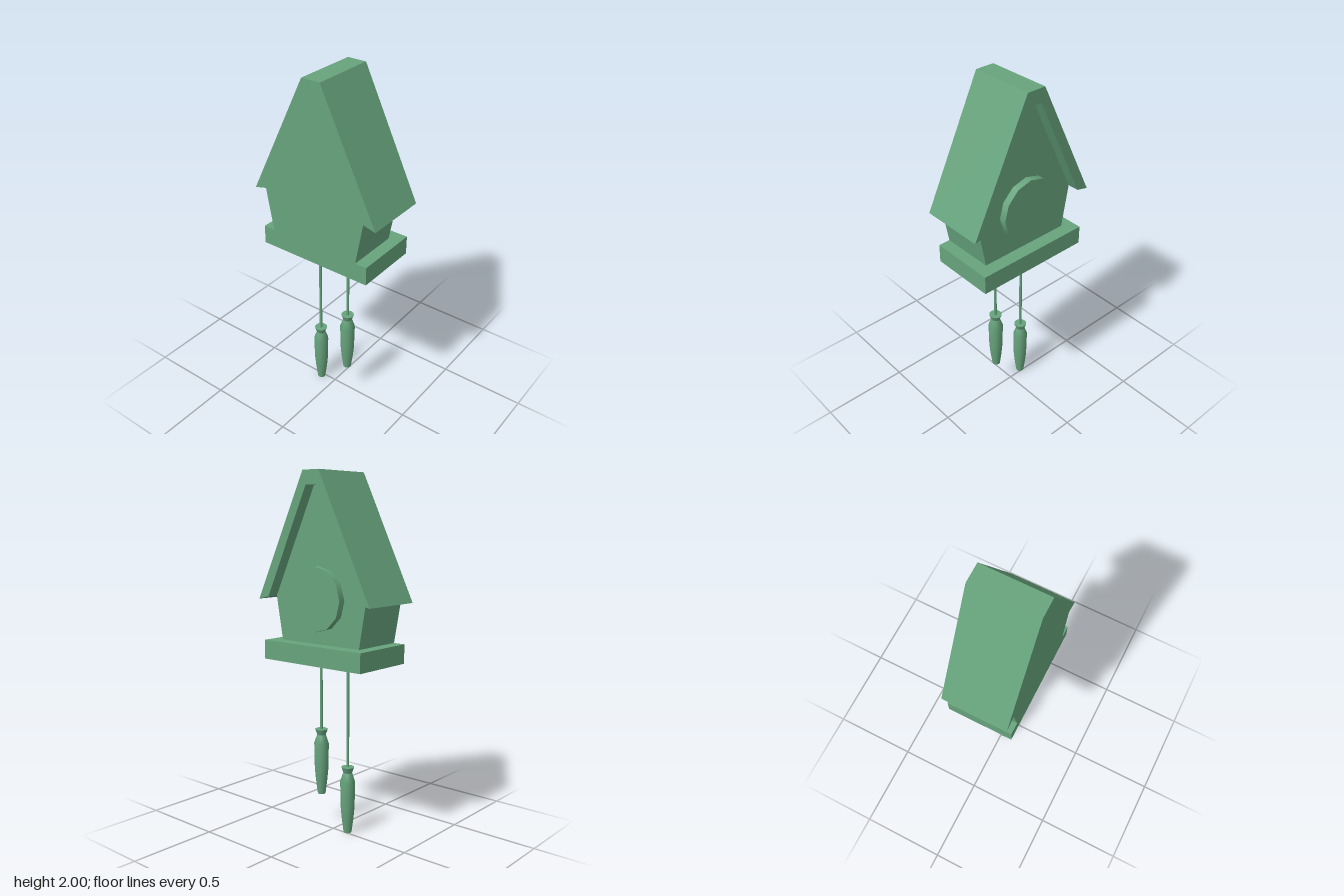
import * as THREE from 'three';

const material = new THREE.MeshStandardMaterial({ color: 0x66a37c });

function add(parent, name, geometry, x = 0, y = 0, z = 0) {
  const mesh = new THREE.Mesh(geometry, material);
  mesh.name = name;
  mesh.position.set(x, y, z);
  parent.add(mesh);
  return mesh;
}

// Mirrors the right half of an outline (listed bottom to top or along its path) and extrudes it in z
function mirroredPrism(half, zBack, zFront) {
  const left = half.map(([x, y]) => [-x, y]).reverse();
  const shape = new THREE.Shape([...half, ...left].map(([x, y]) => new THREE.Vector2(x, y)));
  const geometry = new THREE.ExtrudeGeometry(shape, { depth: zFront - zBack, bevelEnabled: false });
  return geometry.translate(0, 0, zBack);
}

// Turned weight hanging on a thin cord
function hangingWeight(name, x, bottom) {
  const group = new THREE.Group();
  group.name = name;
  group.position.set(x, 0, 0.016);
  const profile = [
    [0.023, 0], [0.034, 0.085], [0.040, 0.15], [0.043, 0.3], [0.025, 0.352],
  ].map(([r, y]) => new THREE.Vector2(r, y));
  add(group, 'weightBody', new THREE.LatheGeometry(profile, 12), 0, bottom);
  add(group, 'weightCap', new THREE.CylinderGeometry(0.037, 0.025, 0.033, 12), 0, bottom + 0.3685);
  add(group, 'weightBottom', new THREE.CylinderGeometry(0.023, 0.023, 0.002, 12), 0, bottom + 0.001);
  const cordStart = bottom + 0.38, cordEnd = 0.99;
  add(group, 'cord', new THREE.CylinderGeometry(0.008, 0.008, cordEnd - cordStart, 8),
    0, (cordStart + cordEnd) / 2);
  return group;
}

export function createModel() {
  const model = new THREE.Group();
  model.name = 'cuckooClock';

  // House body, tapering towards the base
  add(model, 'houseBody', mirroredPrism(
    [[0.273, 1.08], [0.318, 1.33], [0.034, 1.924]], -0.115, 0.19));

  // Overhanging roof with a flat ridge
  add(model, 'roof', mirroredPrism(
    [[0.034, 1.924], [0.318, 1.33], [0.392, 1.312], [0.055, 2]], -0.18, 0.19));

  // Base plinth
  add(model, 'base', new THREE.BoxGeometry(0.686, 0.107, 0.38), 0, 1.0315, 0);

  // Round dial on the recessed wall
  const dial = add(model, 'dial', new THREE.CylinderGeometry(0.175, 0.175, 0.045, 12), 0, 1.33, -0.1325);
  dial.rotation.x = Math.PI / 2;

  // Two weights at different heights
  model.add(hangingWeight('rightWeight', -0.093, 0));
  model.add(hangingWeight('leftWeight', 0.103, 0.185));

  return model;
}
